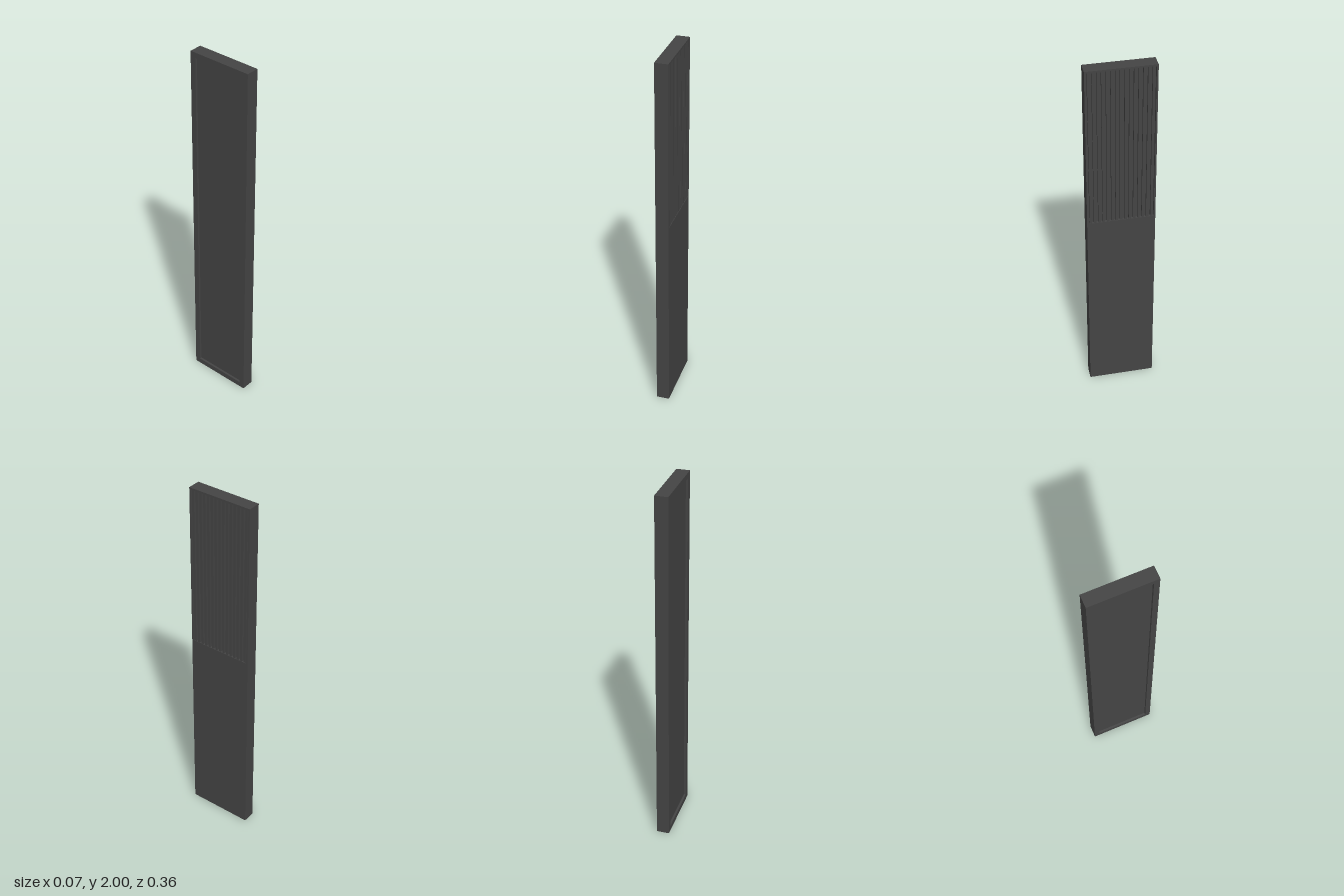
import * as THREE from 'three';

const HALF_Z = 0.18, HALF_X = 0.035, HEIGHT = 2;
const FRONT_DEPTH = 0.015, BACK_DEPTH = 0.012;
const material = new THREE.MeshStandardMaterial({ color: 0x444444 });

// Rectangular ring in the z-y plane, extruded along x
function ring(name, x0, depth, halfHole, holeBottom, holeTop) {
  const rect = (Type, half, bottom, top) => new Type([
    new THREE.Vector2(-half, bottom), new THREE.Vector2(half, bottom),
    new THREE.Vector2(half, top), new THREE.Vector2(-half, top),
  ]);
  const shape = rect(THREE.Shape, HALF_Z, 0, HEIGHT);
  shape.holes.push(rect(THREE.Path, halfHole, holeBottom, holeTop));
  const geometry = new THREE.ExtrudeGeometry(shape, { depth, bevelEnabled: false });
  geometry.rotateY(Math.PI / 2).translate(x0, 0, 0);
  const mesh = new THREE.Mesh(geometry, material);
  mesh.name = name;
  return mesh;
}

function box(name, w, h, d, x, y, z) {
  const mesh = new THREE.Mesh(new THREE.BoxGeometry(w, h, d), material);
  mesh.name = name;
  mesh.position.set(x, y, z);
  return mesh;
}

export function createModel() {
  const model = new THREE.Group();
  model.name = 'slattedPanel';

  // Solid core between the two recessed sides
  const coreWidth = 2 * HALF_X - FRONT_DEPTH - BACK_DEPTH;
  model.add(box('core', coreWidth, HEIGHT, 2 * HALF_Z,
    (BACK_DEPTH - FRONT_DEPTH) / 2, HEIGHT / 2, 0));

  // Facing with the grille opening, and the rim around the back recess
  const bottom = 1.105, top = 1.99, halfGrille = 0.171;
  model.add(ring('grilleFacing', HALF_X - FRONT_DEPTH, FRONT_DEPTH, halfGrille, bottom, top));
  model.add(ring('backRim', -HALF_X, BACK_DEPTH, 0.15, 0.03, HEIGHT - 0.03));

  // Upright slats filling the opening
  const slats = new THREE.Group();
  slats.name = 'grilleSlats';
  const count = 15, pitch = 2 * halfGrille / count, slatDepth = FRONT_DEPTH - 0.002;
  for (let i = 0; i < count; i++) {
    slats.add(box('slat', slatDepth, top - bottom, pitch * 0.55,
      HALF_X - FRONT_DEPTH + slatDepth / 2, (top + bottom) / 2, -halfGrille + (i + 0.5) * pitch));
  }
  model.add(slats);
  return model;
}
